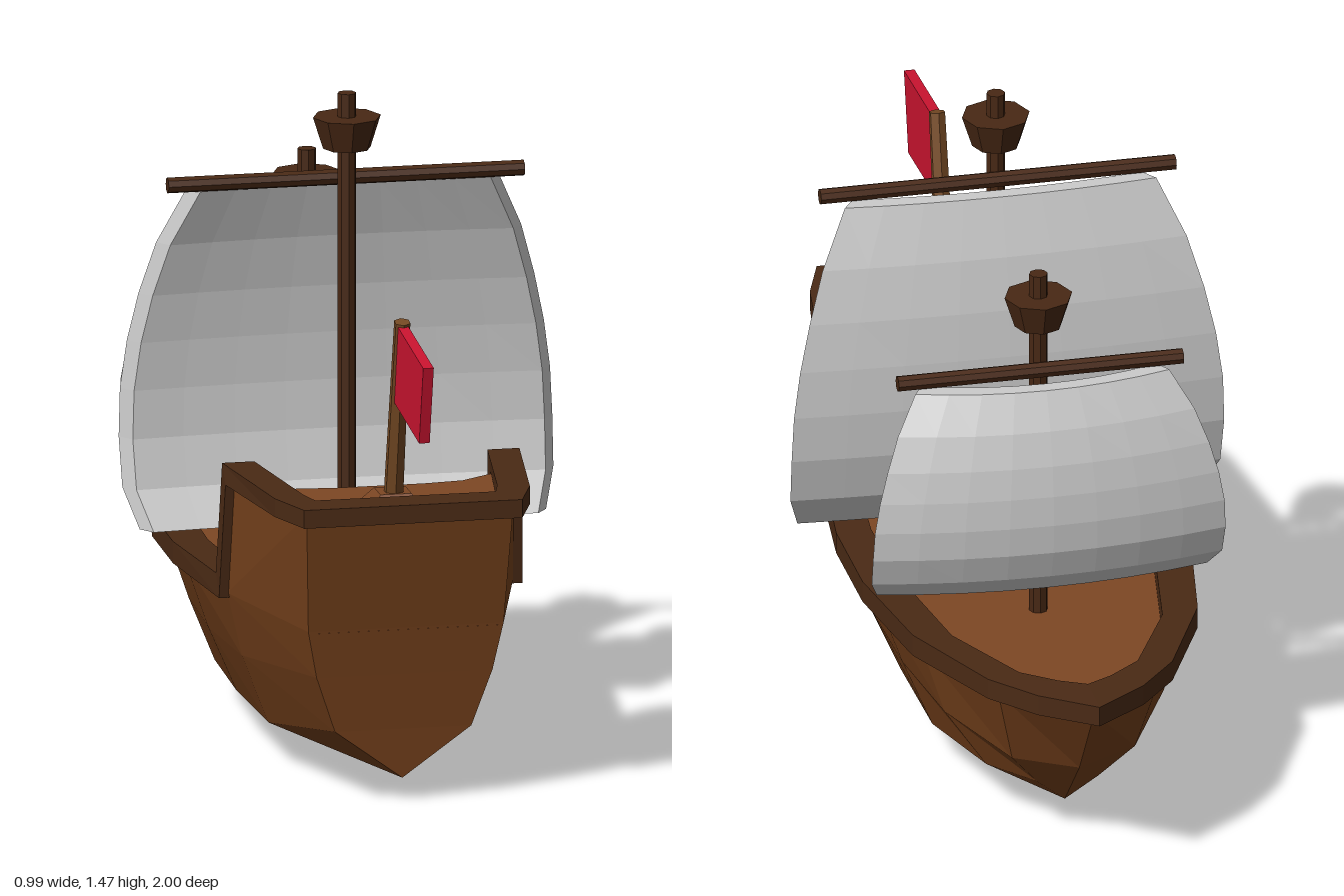
import * as THREE from 'three';

const paint = (color) => new THREE.MeshStandardMaterial({ color, flatShading: true, side: THREE.DoubleSide });
const hullMat = paint(0x74401b), deckMat = paint(0x7d4724), railMat = paint(0x4a2a15);
const mastMat = paint(0x482814), poleMat = paint(0x754923), flagMat = paint(0xcc1430), sailMat = paint(0xcccccc);

// Skin a list of equally long rows of [x, y, z] points.
function skin(rows, closed = false) {
  const n = rows[0].length, index = [];
  for (let i = 0; i < rows.length - 1; i++) {
    for (let j = 0; j < (closed ? n : n - 1); j++) {
      const a = i * n + j, b = i * n + (j + 1) % n, c = a + n, d = b + n;
      index.push(a, b, c, b, d, c);
    }
  }
  const g = new THREE.BufferGeometry();
  g.setAttribute('position', new THREE.Float32BufferAttribute(rows.flat(2), 3));
  g.setIndex(index);
  g.computeVertexNormals();
  return g;
}

function add(parent, name, geometry, material, x = 0, y = 0, z = 0) {
  const m = new THREE.Mesh(geometry, material);
  m.name = name;
  m.position.set(x, y, z);
  parent.add(m);
  return m;
}

const flip = ([x, y, z]) => [-x, y, z];

function buildHull() {
  const hull = new THREE.Group();
  hull.name = 'hull';
  hull.position.x = -0.008;

  // Half sections from stern to bow: keel, bilge, side, top edge
  const stations = [
    [[0, 0.055, 0.68], [0.155, 0.17, 0.69], [0.2, 0.3, 0.705], [0.222, 0.41, 0.72]],
    [[0, 0.02, 0.3], [0.225, 0.1, 0.3], [0.288, 0.26, 0.31], [0.325, 0.41, 0.33]],
    [[0, 0.003, 0], [0.235, 0.1, 0], [0.3, 0.25, 0], [0.355, 0.41, 0]],
    [[0, 0.023, -0.3], [0.225, 0.1, -0.29], [0.288, 0.25, -0.27], [0.345, 0.41, -0.25]],
    [[0, 0.05, -0.55], [0.16, 0.12, -0.55], [0.25, 0.25, -0.53], [0.3, 0.41, -0.52]],
    [[0, 0.06, -0.64], [0.07, 0.125, -0.67], [0.14, 0.22, -0.73], [0.185, 0.415, -0.79]],
    [[0, 0.06, -0.64], [0, 0.13, -0.71], [0, 0.21, -0.79], [0, 0.42, -0.945]],
  ];
  add(hull, 'hullShell', skin(stations.map((s) => [...s.slice(1).reverse().map(flip), ...s])), hullMat);
  add(hull, 'transom', skin(stations[0].map((p) => [flip(p), p])), hullMat);

  // Stern castle walls
  const low = [stations[1][3], stations[0][3]];
  const high = [[0.318, 0.69, 0.37], [0.235, 0.69, 0.765]];
  const around = (h) => [h[0], h[1], flip(h[1]), flip(h[0])];
  add(hull, 'castleWalls', skin([around(low), around(high)]), hullMat);

  // Gunwale: outer x, z, inner x, z, top y, bottom y, backward lean of the lower edge
  const path = [
    [0, -1, 0, -0.88, 0.462, 0.415, 0],
    [0.12, -0.91, 0.06, -0.845, 0.46, 0.412, 0],
    [0.21, -0.8, 0.135, -0.78, 0.457, 0.409, 0],
    [0.325, -0.54, 0.24, -0.56, 0.453, 0.402, 0],
    [0.375, -0.25, 0.29, -0.25, 0.45, 0.4, 0],
    [0.38, 0, 0.3, 0, 0.45, 0.4, 0],
    [0.345, 0.3, 0.275, 0.3, 0.45, 0.4, 0.035],
    [0.338, 0.335, 0.265, 0.335, 0.71, 0.668, 0.037],
    [0.29, 0.68, 0.22, 0.66, 0.71, 0.668, 0],
    [0.248, 0.8, 0.205, 0.715, 0.71, 0.668, 0],
    [0, 0.8, 0, 0.715, 0.71, 0.668, 0],
  ];
  const rail = path.map(([ox, oz, ix, iz, t, b, d]) =>
    [[ox, t, oz], [ix, t, iz], [ix, b, iz + d], [ox, b, oz + d]]);
  add(hull, 'railLeft', skin(rail, true), railMat);
  add(hull, 'railRight', skin(rail.map((r) => r.map(flip)), true), railMat);

  // Main deck
  const edge = stations.map((s) => s[3]);
  add(hull, 'mainDeck', skin(edge.map(([x, , z]) => [[-x * 0.98, 0.405, z], [x * 0.98, 0.405, z]])), deckMat);

  // Raised stern deck with a curved, leaning front bulkhead
  const half = [[0, 0.4], [0.1, 0.4], [0.19, 0.39], [0.3, 0.32], [0.215, 0.71]];
  const outline = [...half, ...half.slice(1).reverse().map(([x, z]) => [-x, z])];
  const castle = new THREE.ExtrudeGeometry(
    new THREE.Shape(outline.map(([x, z]) => new THREE.Vector2(x, -z))), { depth: 0.265, bevelEnabled: false });
  castle.rotateX(-Math.PI / 2);
  const p = castle.attributes.position;
  for (let i = 0; i < p.count; i++) p.setZ(i, p.getZ(i) + 0.13 * p.getY(i));
  castle.computeVertexNormals();
  add(hull, 'sternDeck', castle, deckMat, 0, 0.4, 0);
  return hull;
}

// Billowing sail of real thickness; w, h and b scale its width, height and belly
function sailGeometry(w, h, b, curve) {
  const profile = [ // height below the yard, half width, forward belly
    [0, 0.355, 0.01], [0.13, 0.415, 0.052], [0.25, 0.45, 0.076], [0.36, 0.474, 0.088],
    [0.47, 0.489, 0.092], [0.58, 0.493, 0.086], [0.69, 0.49, 0.06], [0.775, 0.462, 0.005],
  ];
  const us = Array.from({ length: 9 }, (_, i) => i / 4 - 1);
  const rows = profile.map(([d, half, f]) => {
    const front = us.map((u) => [u * half * w, -d * h, -f * b + curve * u * u]);
    const back = us.map((u) => [u * (half - 0.025) * w, -d * h, -f * b + curve * u * u + 0.035]);
    return [...front, ...back.reverse()];
  });
  const closeEnd = (r) => [...r.slice(0, 9), ...r.slice(0, 9).reverse()];
  return skin([closeEnd(rows[0]), ...rows, closeEnd(rows[rows.length - 1])], true);
}

// Mast with lookout basket, yard and sail
function buildRig(name, o) {
  const rig = new THREE.Group();
  rig.name = name;
  rig.position.set(-0.005, 0, o.z);
  add(rig, 'mast', new THREE.CylinderGeometry(0.021, 0.021, o.top - 0.39, 8), mastMat, 0, (o.top + 0.39) / 2, 0);
  add(rig, 'lookout', new THREE.CylinderGeometry(0.077, 0.054, 0.072, 8), mastMat, 0, o.top - 0.09, 0);
  const yard = new THREE.CylinderGeometry(0.018, 0.018, o.yard * 2, 8).rotateZ(Math.PI / 2);
  add(rig, 'yard', yard, mastMat, 0.003, o.yardY, -0.03);
  add(rig, 'sail', sailGeometry(o.w, o.h, o.b, o.curve), sailMat, 0.003, o.yardY - 0.018, o.sailZ);
  return rig;
}

function buildFlag() {
  const flag = new THREE.Group();
  flag.name = 'sternFlag';
  flag.position.x = -0.015;
  const foot = new THREE.CylinderGeometry(0.05, 0.09, 0.035, 4).rotateY(Math.PI / 4);
  add(flag, 'poleFoot', foot, deckMat, 0, 0.68, 0.61);
  const pole = add(flag, 'flagPole', new THREE.CylinderGeometry(0.019, 0.023, 0.46, 6), poleMat, 0, 0.885, 0.662);
  pole.rotation.x = 0.225;
  // Cloth outline as z, y, extruded along x
  const corners = [[0.725, 1.1], [1, 1.073], [0.955, 0.89], [0.685, 0.917]];
  const cloth = new THREE.ExtrudeGeometry(
    new THREE.Shape(corners.map(([z, y]) => new THREE.Vector2(-z, y))), { depth: 0.024, bevelEnabled: false });
  cloth.translate(0, 0, -0.012).rotateY(Math.PI / 2);
  add(flag, 'flagCloth', cloth, flagMat);
  return flag;
}

export function createModel() {
  const ship = new THREE.Group();
  ship.name = 'sailingShip';
  ship.add(
    buildHull(),
    buildRig('mainRig', { z: 0.06, top: 1.475, yard: 0.405, yardY: 1.275, w: 1, h: 1, b: 1, curve: 0.02, sailZ: -0.073 }),
    buildRig('foreRig', { z: -0.38, top: 1.24, yard: 0.325, yardY: 1.015, w: 0.815, h: 0.635, b: 0.95, curve: 0.045, sailZ: -0.09 }),
    buildFlag(),
  );
  return ship;
}
